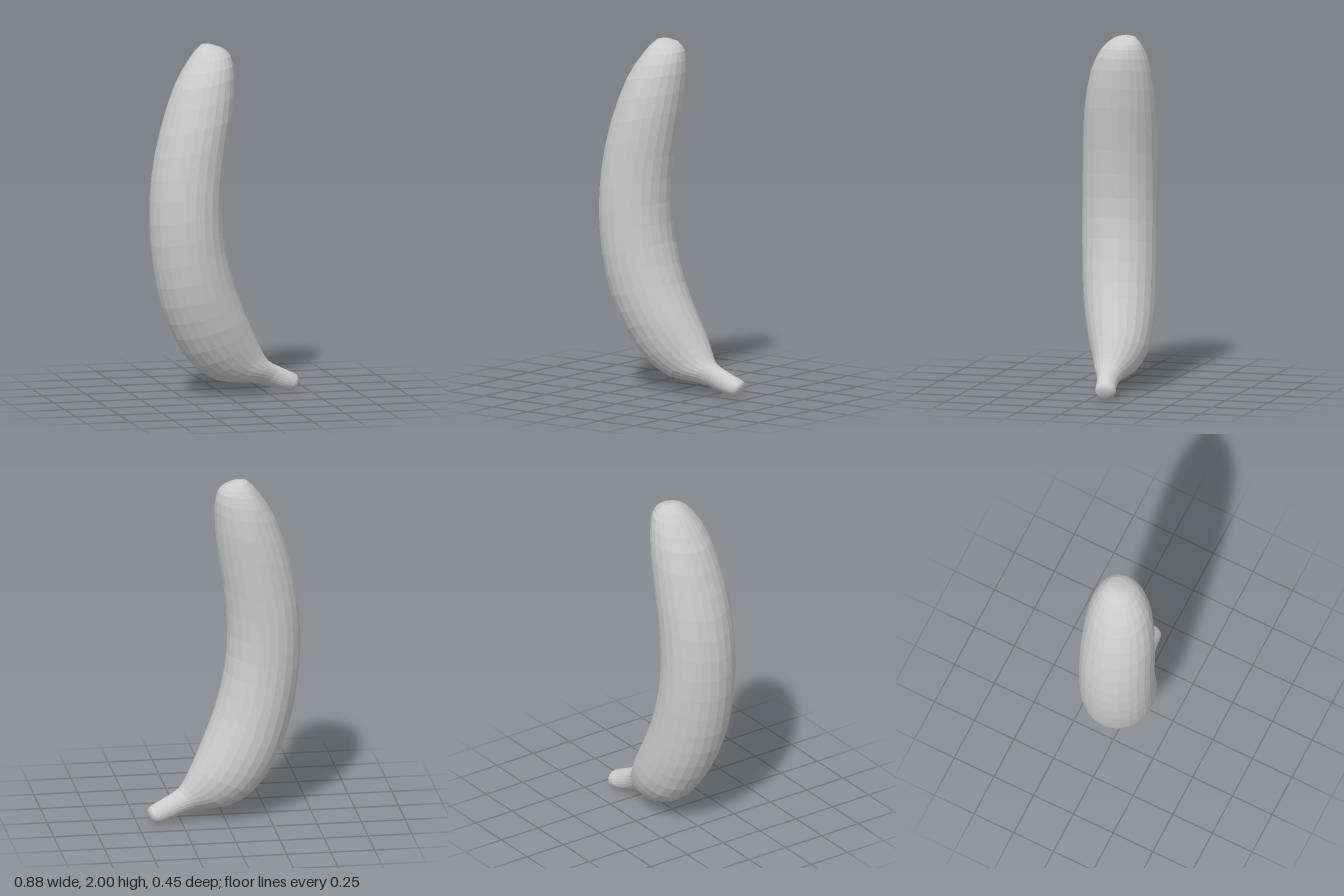
import * as THREE from 'three';

// Cross-sections from blossom end to stem:
// [outer edge x, y,  inner edge x, y,  front z, back z]
const SECTIONS = [
  [-0.08, 2.0, -0.08, 2.0, -0.07, -0.07],
  [-0.13, 1.995, -0.005, 1.975, 0.0, -0.13],
  [-0.2, 1.915, 0.035, 1.935, 0.07, -0.17],
  [-0.29, 1.765, 0.052, 1.82, 0.14, -0.2],
  [-0.38, 1.5, 0.035, 1.6, 0.195, -0.21],
  [-0.43, 1.25, -0.005, 1.35, 0.215, -0.205],
  [-0.442, 1.0, -0.027, 1.08, 0.225, -0.2],
  [-0.42, 0.75, -0.01, 0.85, 0.22, -0.205],
  [-0.37, 0.52, 0.05, 0.62, 0.2, -0.215],
  [-0.29, 0.33, 0.12, 0.45, 0.165, -0.225],
  [-0.17, 0.165, 0.18, 0.325, 0.115, -0.218],
  [-0.02, 0.076, 0.225, 0.235, 0.065, -0.18],
  [0.14, 0.064, 0.26, 0.182, 0.03, -0.14],
  [0.23, 0.045, 0.32, 0.147, -0.005, -0.128],
  [0.31, 0.018, 0.38, 0.118, -0.022, -0.136],
  [0.385, 0.0, 0.43, 0.092, -0.032, -0.148],
  [0.415, 0.008, 0.44, 0.072, -0.048, -0.12],
  [0.436, 0.045, 0.436, 0.045, -0.08, -0.08],
];
const SIDES = 24;
const STEPS = 2; // rings per section

// Skins the sections into one closed, bent body
function bodyGeometry() {
  const outer = new THREE.CatmullRomCurve3(SECTIONS.map(s => new THREE.Vector3(s[0], s[1], s[4])));
  const inner = new THREE.CatmullRomCurve3(SECTIONS.map(s => new THREE.Vector3(s[2], s[3], s[5])));
  const rings = (SECTIONS.length - 1) * STEPS;
  const pos = [], index = [];

  for (let i = 0; i <= rings; i++) {
    const o = outer.getPoint(i / rings), n = inner.getPoint(i / rings);
    const half = n.clone().sub(o).multiplyScalar(0.5);
    const mid = n.clone().add(o).multiplyScalar(0.5);
    for (let j = 0; j < SIDES; j++) {
      const a = (j / SIDES) * Math.PI * 2;
      const c = Math.cos(a), s = Math.sin(a);
      pos.push(mid.x + half.x * c, mid.y + half.y * c, mid.z - half.z * s);
    }
  }

  for (let i = 0; i < rings; i++) {
    for (let j = 0; j < SIDES; j++) {
      const k = (j + 1) % SIDES;
      const v0 = i * SIDES + j, v1 = i * SIDES + k;
      const w0 = v0 + SIDES, w1 = v1 + SIDES;
      // the end rings collapse to a point, so they need one triangle per side
      if (i > 0) index.push(v0, v1, w0);
      if (i < rings - 1) index.push(v1, w1, w0);
    }
  }

  const g = new THREE.BufferGeometry();
  g.setAttribute('position', new THREE.Float32BufferAttribute(pos, 3));
  g.setIndex(index);
  g.computeVertexNormals();
  return g;
}

export function createModel() {
  const group = new THREE.Group();
  group.name = 'banana';
  const skin = new THREE.MeshStandardMaterial({ color: 0xcccccc, flatShading: true });
  const body = new THREE.Mesh(bodyGeometry(), skin);
  body.name = 'peelAndStem';
  group.add(body);
  return group;
}
